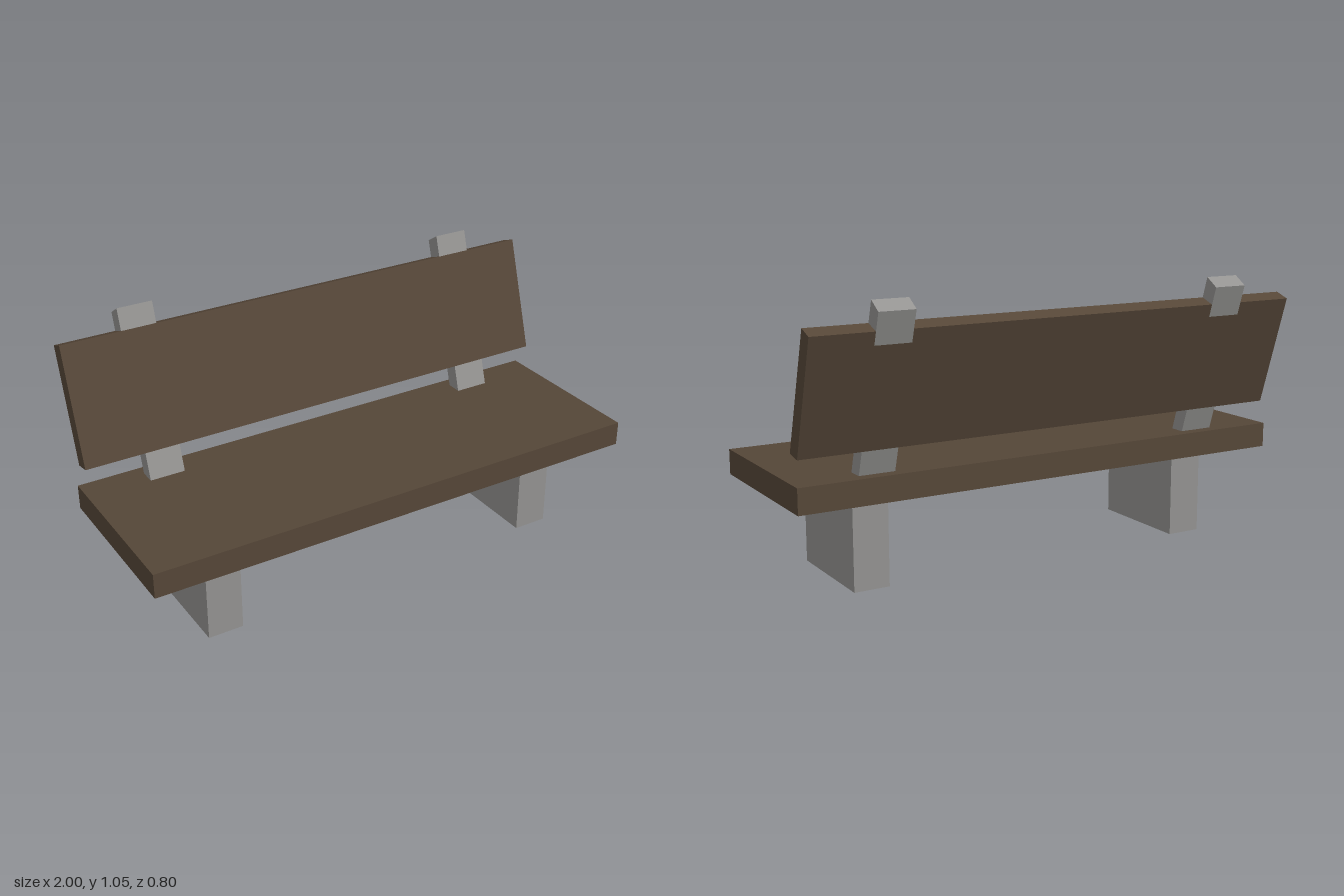
import * as THREE from 'three';

const wood = new THREE.MeshStandardMaterial({ color: 0x564738, flatShading: true });
const stone = new THREE.MeshStandardMaterial({ color: 0x949391, flatShading: true });

// Side profile of [z, y] corners, extruded across x and centred on the given x
function slab(name, material, profile, width, x = 0) {
  const shape = new THREE.Shape(profile.map(([z, y]) => new THREE.Vector2(z, y)));
  const geometry = new THREE.ExtrudeGeometry(shape, { depth: width, bevelEnabled: false });
  geometry.translate(0, 0, -width / 2).rotateY(-Math.PI / 2);
  const mesh = new THREE.Mesh(geometry, material);
  mesh.name = name;
  mesh.position.x = x;
  return mesh;
}

const rect = (z0, z1, y0, y1) => [[z0, y0], [z1, y0], [z1, y1], [z0, y1]];

export function createModel() {
  const bench = new THREE.Group();
  bench.name = 'bench';

  // Seat plank
  bench.add(slab('seat', wood, rect(-0.262, 0.4, 0.34, 0.435), 2));

  // Leaning back plank
  bench.add(slab('backrest', wood,
    [[-0.185, 0.536], [-0.247, 0.525], [-0.379, 0.95], [-0.322, 0.971]], 1.982));

  // Block legs, and back posts running just inside the back plank
  for (const [side, s] of [['left', 1], ['right', -1]]) {
    bench.add(slab(side + 'Leg', stone, rect(-0.155, 0.276, 0, 0.34), 0.137, s * 0.69));
    bench.add(slab(side + 'BackPost', stone,
      [[-0.156, 0.435], [-0.217, 0.435], [-0.4, 1.016], [-0.347, 1.05]], 0.137, s * 0.69));
  }
  return bench;
}
